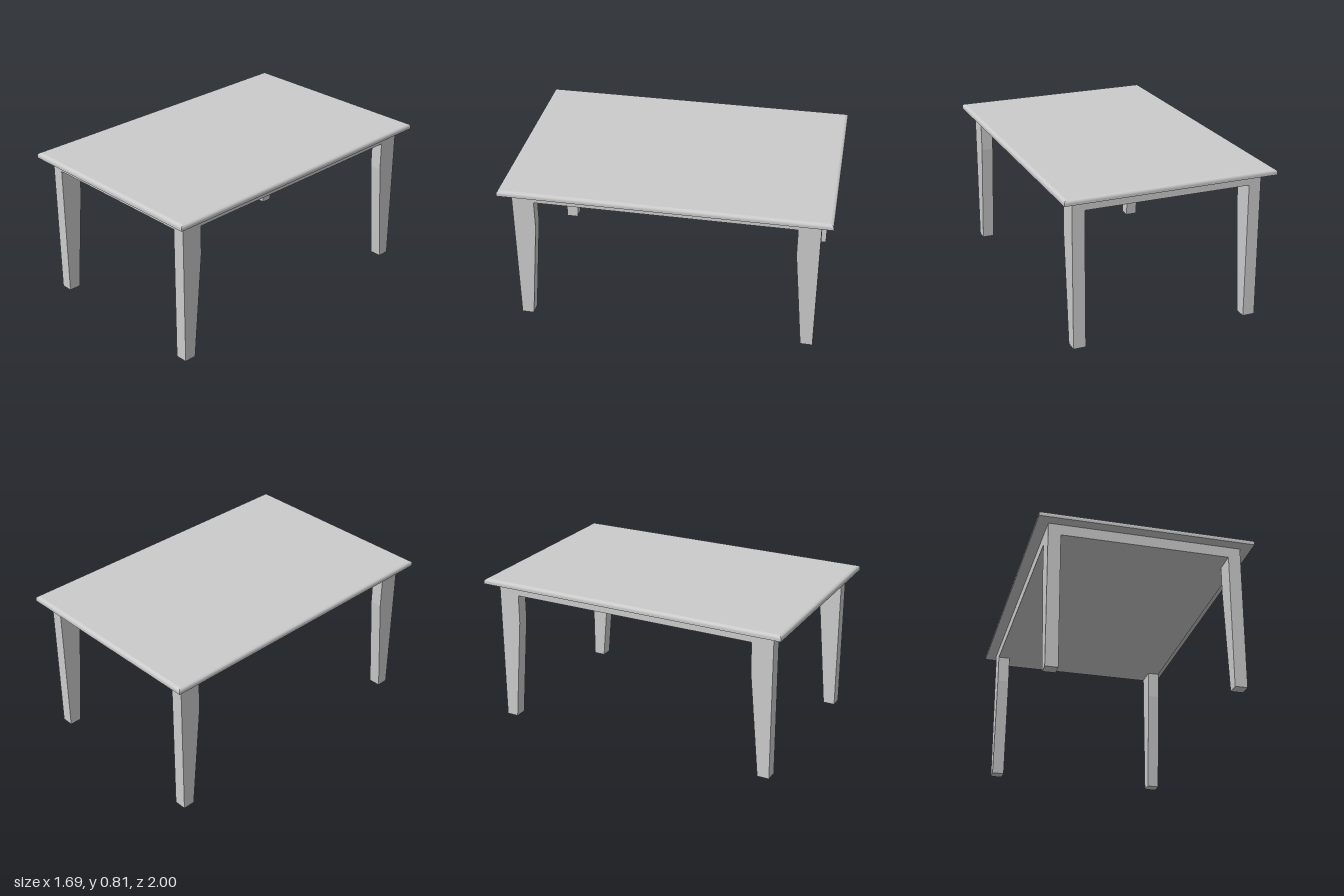
import * as THREE from 'three';

const material = new THREE.MeshStandardMaterial({ color: 0xcccccc });

// Heights and half sizes of the frame under the top
const APRON_Y = 0.724, TOP_Y = 0.782, HEIGHT = 0.81;
const HALF_X = 0.504, HALF_Z = 0.791;
const LEG_W = 0.065, LEG_TOP = 0.115, LEG_FOOT = 0.064, TAPER_Y = 0.57;

function addMesh(parent, name, geometry) {
  const mesh = new THREE.Mesh(geometry, material);
  mesh.name = name;
  parent.add(mesh);
  return mesh;
}

// Slab whose upper edges are rounded, with mitred corners
function tabletopGeometry(w, h, d, r) {
  const g = new THREE.BoxGeometry(w, h, d, 1, 12, 1);
  const p = g.attributes.position;
  for (let i = 0; i < p.count; i++) {
    const t = Math.max(0, p.getY(i) - (h / 2 - r));
    const inset = r - Math.sqrt(Math.max(0, r * r - t * t));
    p.setX(i, p.getX(i) - Math.sign(p.getX(i)) * inset);
    p.setZ(i, p.getZ(i) - Math.sign(p.getZ(i)) * inset);
  }
  g.computeVertexNormals();
  return g;
}

// Leg with a straight outer face, its inner face tapering to the foot
function legGeometry() {
  const profile = new THREE.Shape([
    [0, 0], [0, APRON_Y], [-LEG_TOP, APRON_Y], [-LEG_TOP, TAPER_Y], [-LEG_FOOT, 0],
  ].map(([z, y]) => new THREE.Vector2(z, y)));
  const g = new THREE.ExtrudeGeometry(profile, { depth: LEG_W, bevelEnabled: false });
  g.translate(0, 0, -LEG_W / 2);
  g.rotateY(-Math.PI / 2);
  return g;
}

export function createModel() {
  const table = new THREE.Group();
  table.name = 'table';

  const thickness = HEIGHT - TOP_Y;
  addMesh(table, 'tabletop', tabletopGeometry(1.125, thickness, 1.7, 0.016))
    .position.y = TOP_Y + thickness / 2;

  // Solid apron block under the top
  addMesh(table, 'apron', new THREE.BoxGeometry(2 * HALF_X, TOP_Y - APRON_Y, 2 * HALF_Z))
    .position.y = (APRON_Y + TOP_Y) / 2;

  // Four legs flush with the apron corners
  const leg = legGeometry();
  for (const sx of [-1, 1]) {
    for (const sz of [-1, 1]) {
      const name = (sz > 0 ? 'front' : 'back') + (sx > 0 ? 'Left' : 'Right') + 'Leg';
      const mesh = addMesh(table, name, leg);
      mesh.position.set(sx * (HALF_X - LEG_W / 2), 0, sz * HALF_Z);
      mesh.rotation.y = sz > 0 ? 0 : Math.PI;
    }
  }

  // The table stands turned about its vertical axis
  table.rotation.y = THREE.MathUtils.degToRad(-22.4);
  const model = new THREE.Group();
  model.name = 'model';
  model.add(table);
  return model;
}
